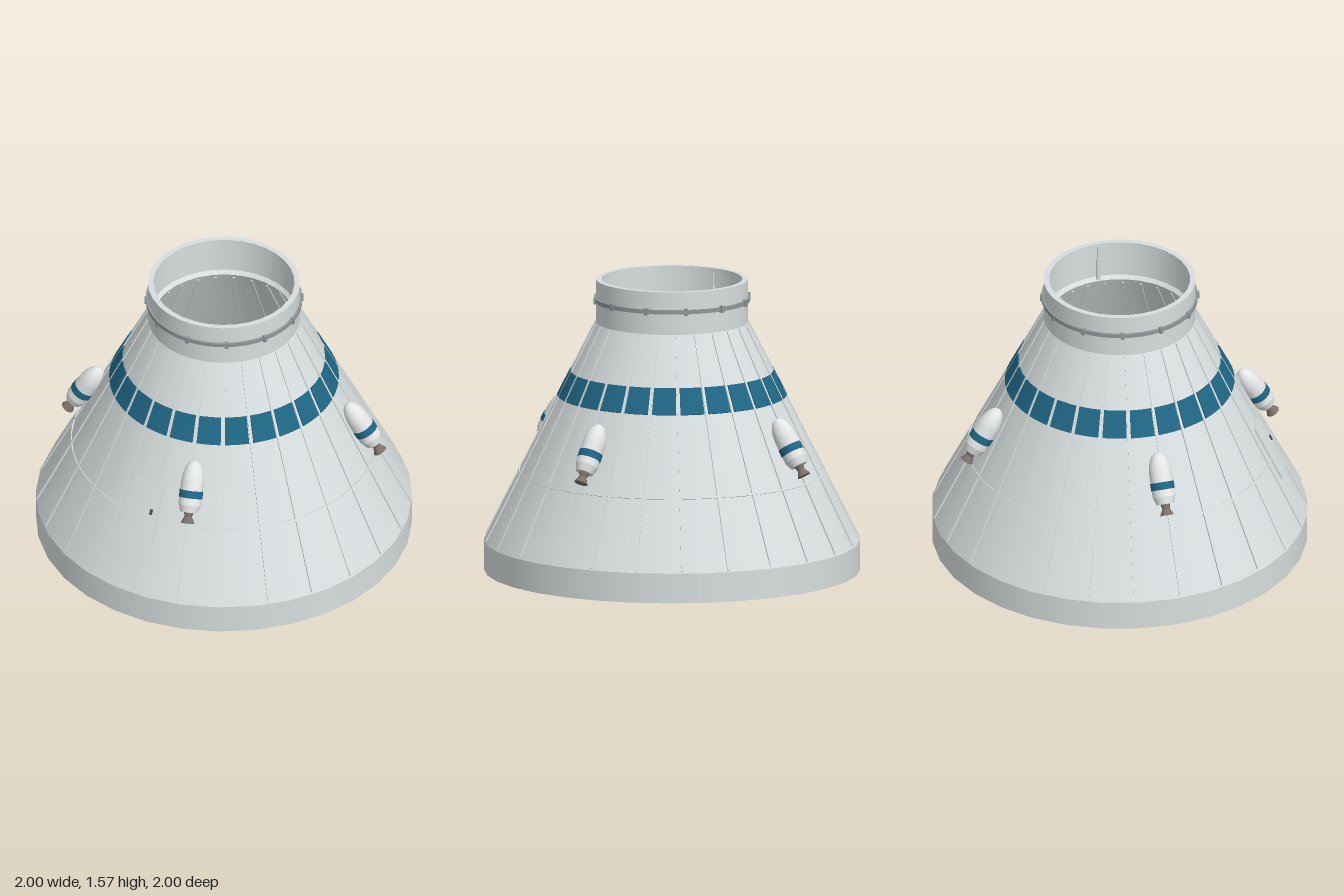
import * as THREE from 'three';

const mat = (name, color) => Object.assign(new THREE.MeshStandardMaterial({ color }), { name });
const SIDES = 32, PANELS = 25, STEP = (Math.PI * 2) / PANELS;
const coneR = (y) => 1 - (y - 0.16) * (0.595 / 1.18);

export function createModel() {
  const white = mat('shellGrey', 0xd8dedf);
  const clampGrey = mat('clampGrey', 0x92979a);
  const dark = mat('handleGrey', 0x4a4d4f);
  const blue = mat('bandBlue', 0x1f6684);
  const podWhite = mat('podWhite', 0xe4e6e6);
  const nozzleMat = mat('nozzleBrown', 0x7b7069);

  const root = new THREE.Group();
  root.name = 'conicalAdapter';
  const group = (name, parent = root) => {
    const g = new THREE.Group();
    g.name = name;
    parent.add(g);
    return g;
  };
  const add = (parent, name, geo, m) => {
    const mesh = new THREE.Mesh(geo, m);
    mesh.name = name;
    parent.add(mesh);
    return mesh;
  };
  // One lathe per profile step keeps edges sharp while going round smoothly
  const turned = (parent, name, pts, m, sides = SIDES) => {
    for (let i = 0; i < pts.length - 1; i++) {
      const seg = [pts[i], pts[i + 1]].map((p) => new THREE.Vector2(...p));
      add(parent, name, new THREE.LatheGeometry(seg, sides), m);
    }
  };
  // Plate wrapped on the cone: angles a0..a1, heights y0..y1, offsets d0..d1 along the normal
  const plate = (a0, a1, y0, y1, d0, d1, segs = 1) => {
    const geo = new THREE.BoxGeometry(1, 1, 1, segs, 1, 1);
    const p = geo.attributes.position;
    for (let i = 0; i < p.count; i++) {
      const a = a0 + (a1 - a0) * (p.getX(i) + 0.5);
      const y = y0 + (y1 - y0) * (p.getY(i) + 0.5);
      const d = d0 + (d1 - d0) * (p.getZ(i) + 0.5);
      const r = coneR(y) + d * 0.893;
      p.setXYZ(i, Math.sin(a) * r, y + d * 0.45, Math.cos(a) * r);
    }
    geo.computeVertexNormals();
    return geo;
  };
  // Straight seam strip of constant width w lying along the cone at angle a
  const seam = (a, w, y0, y1, d0, d1) => {
    const geo = new THREE.BoxGeometry(w, 1, 1);
    const p = geo.attributes.position;
    for (let i = 0; i < p.count; i++) {
      const y = y0 + (y1 - y0) * (p.getY(i) + 0.5);
      const d = d0 + (d1 - d0) * (p.getZ(i) + 0.5);
      p.setXYZ(i, p.getX(i), y + d * 0.45, coneR(y) + d * 0.893);
    }
    geo.computeVertexNormals();
    return geo.rotateY(a);
  };

  // Hollow shell: base ring, cone and collar with an inner lip
  turned(group('shell'), 'shellWall', [[0.975, 0], [1, 0], [1, 0.16], [0.405, 1.34], [0.405, 1.57],
    [0.375, 1.57], [0.375, 1.55], [0.392, 1.55], [0.392, 1.36], [0.375, 1.34],
    [0.968, 0.16], [0.975, 0.16], [0.975, 0]], white);

  // Inner stiffening rings
  const hoop = (name, r, y, h, t) => turned(group(name), name,
    [[r, y], [r, y + h], [r - t, y + h], [r - t, y], [r, y]], white);
  hoop('baseInnerRing', 0.975, 0.155, 0.012, 0.02);
  hoop('lowerInnerRing', 0.982, 0.004, 0.012, 0.014);
  hoop('middleInnerRing', coneR(0.77) - 0.025, 0.77, 0.01, 0.012);

  // Panel seams and the blue band, broken at every seam
  const seams = group('panelSeams'), band = group('blueBand');
  for (let i = 0; i < PANELS; i++) {
    const a = -Math.PI / 2 + i * STEP;
    add(seams, 'outerSeam', seam(a, 0.012, 0.17, 1.335, -0.008, 0.005), white);
    add(seams, 'innerSeam', seam(a, 0.012, 0.17, 1.33, -0.033, -0.025), white);
    add(band, 'bandPlate', plate(a + 0.019, a + STEP - 0.019, 0.943, 1.076, -0.002, 0.006, 3), blue);
  }

  // Horizontal joint round the cone
  add(root, 'jointRing', plate(0, Math.PI * 2, 0.527, 0.537, -0.008, 0.005, 64), white);

  // Access hatch: raised frame, panel and a small handle
  const hatch = group('hatch'), deg = Math.PI / 180;
  const hc = -Math.PI / 2 + 25.2 * deg;
  add(hatch, 'hatchPanel', plate(hc - 7 * deg, hc + 7 * deg, 0.415, 0.705, -0.006, 0.006, 4), white);
  for (const [a0, a1, y0, y1] of [[-7, 7, 0.415, 0.425], [-7, 7, 0.695, 0.705],
    [-7, -6.2, 0.415, 0.705], [6.2, 7, 0.415, 0.705]]) {
    add(hatch, 'hatchFrame', plate(hc + a0 * deg, hc + a1 * deg, y0, y1, 0, 0.01, 4), white);
  }
  add(hatch, 'hatchHandle', plate(hc + 3.6 * deg, hc + 4.6 * deg, 0.555, 0.58, 0.004, 0.014), dark);

  // Clamp ring with clips on the collar
  const clamp = group('clampRing');
  turned(clamp, 'clampHoop', [[0.404, 1.452], [0.416, 1.452], [0.416, 1.474], [0.404, 1.474]], clampGrey, 48);
  for (let i = 0; i < 12; i++) {
    const geo = new THREE.BoxGeometry(0.02, 0.036, 0.022).translate(0, 1.463, 0.412);
    add(clamp, 'clip', geo.rotateY((i * Math.PI) / 6), clampGrey);
  }

  // Four thruster pods leaning along the cone
  const nose = [new THREE.Vector2(0.061, -0.24)];
  for (let i = 0; i <= 8; i++) {
    const t = (i / 8) * Math.PI / 2;
    nose.push(new THREE.Vector2(0.061 * Math.cos(t), -0.12 + 0.12 * Math.sin(t)));
  }
  for (let i = 0; i < 4; i++) {
    const arm = group('thrusterPod');
    arm.rotation.y = Math.PI / 4 + (i * Math.PI) / 2;
    const pod = group('pod', arm);
    pod.position.set(0, 0.882, 0.672);
    pod.rotation.x = -32 * deg;
    add(pod, 'podBody', new THREE.LatheGeometry(nose, 20), podWhite);
    turned(pod, 'podTail', [[0, -0.28], [0.046, -0.28], [0.061, -0.24]], podWhite, 20);
    turned(pod, 'podStripe', [[0.061, -0.202], [0.0635, -0.202], [0.0635, -0.162], [0.061, -0.162]], blue, 20);
    turned(pod, 'nozzle', [[0, -0.335], [0.037, -0.34], [0.02, -0.305], [0.026, -0.28]], nozzleMat, 14);
  }

  // Two opposite guide rods inside the collar
  for (const a of [Math.PI / 4, Math.PI * 1.25]) {
    const guide = group('guide');
    guide.rotation.y = a;
    add(guide, 'guideRod', new THREE.CylinderGeometry(0.006, 0.006, 0.08, 8), white).position.set(0, 1.51, 0.385);
    add(guide, 'rodSleeve', new THREE.CylinderGeometry(0.012, 0.012, 0.13, 8), white).position.set(0, 1.41, 0.385);
  }
  return root;
}
